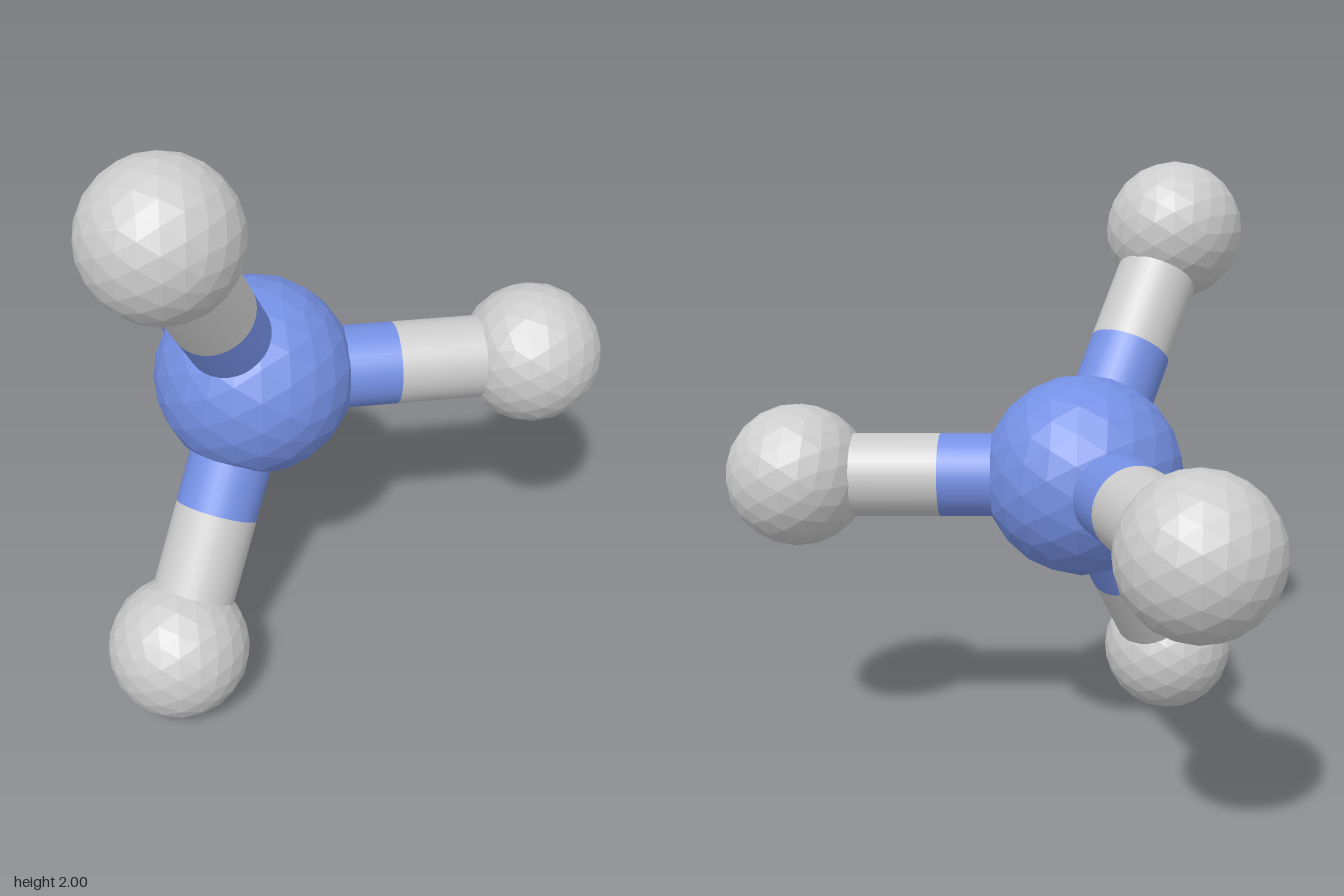
import * as THREE from 'three';

const CENTRE = new THREE.Vector3(0, 1.003, 0);
const BOND_RADIUS = 0.137;

export function createModel() {
  const model = new THREE.Group();
  const blue = new THREE.MeshStandardMaterial({ color: 0x7590e4, flatShading: true });
  const grey = new THREE.MeshStandardMaterial({ color: 0xcccccc, flatShading: true });
  const blueBond = new THREE.MeshStandardMaterial({ color: 0x7590e4 });
  const greyBond = new THREE.MeshStandardMaterial({ color: 0xcccccc });

  // Faceted ball
  function addAtom(name, position, radius, material, parent) {
    const atom = new THREE.Mesh(new THREE.IcosahedronGeometry(radius, 3), material);
    atom.name = name;
    atom.position.copy(position);
    parent.add(atom);
  }

  // Round rod between two points
  function addRod(name, from, to, material, parent) {
    const axis = to.clone().sub(from);
    const geometry = new THREE.CylinderGeometry(BOND_RADIUS, BOND_RADIUS, axis.length(), 32, 1, true);
    const rod = new THREE.Mesh(geometry, material);
    rod.name = name;
    rod.position.copy(from).add(to).multiplyScalar(0.5);
    rod.quaternion.setFromUnitVectors(new THREE.Vector3(0, 1, 0), axis.normalize());
    parent.add(rod);
  }

  addAtom('centralAtom', CENTRE, 0.33, blue, model);

  // Four arms toward the corners of a tetrahedron
  const arms = {
    top: [0, 0.765, 0.541],
    bottom: [0, -0.765, 0.541],
    left: [0.765, 0, -0.541],
    right: [-0.765, 0, -0.541],
  };
  for (const [side, offset] of Object.entries(arms)) {
    const arm = new THREE.Group();
    arm.name = side + 'Arm';
    const end = new THREE.Vector3(...offset).add(CENTRE);
    const middle = CENTRE.clone().lerp(end, 0.5);
    addRod(side + 'InnerBond', CENTRE, middle, blueBond, arm);
    addRod(side + 'OuterBond', middle, end, greyBond, arm);
    addAtom(side + 'OuterAtom', end, 0.234, grey, arm);
    model.add(arm);
  }
  return model;
}
